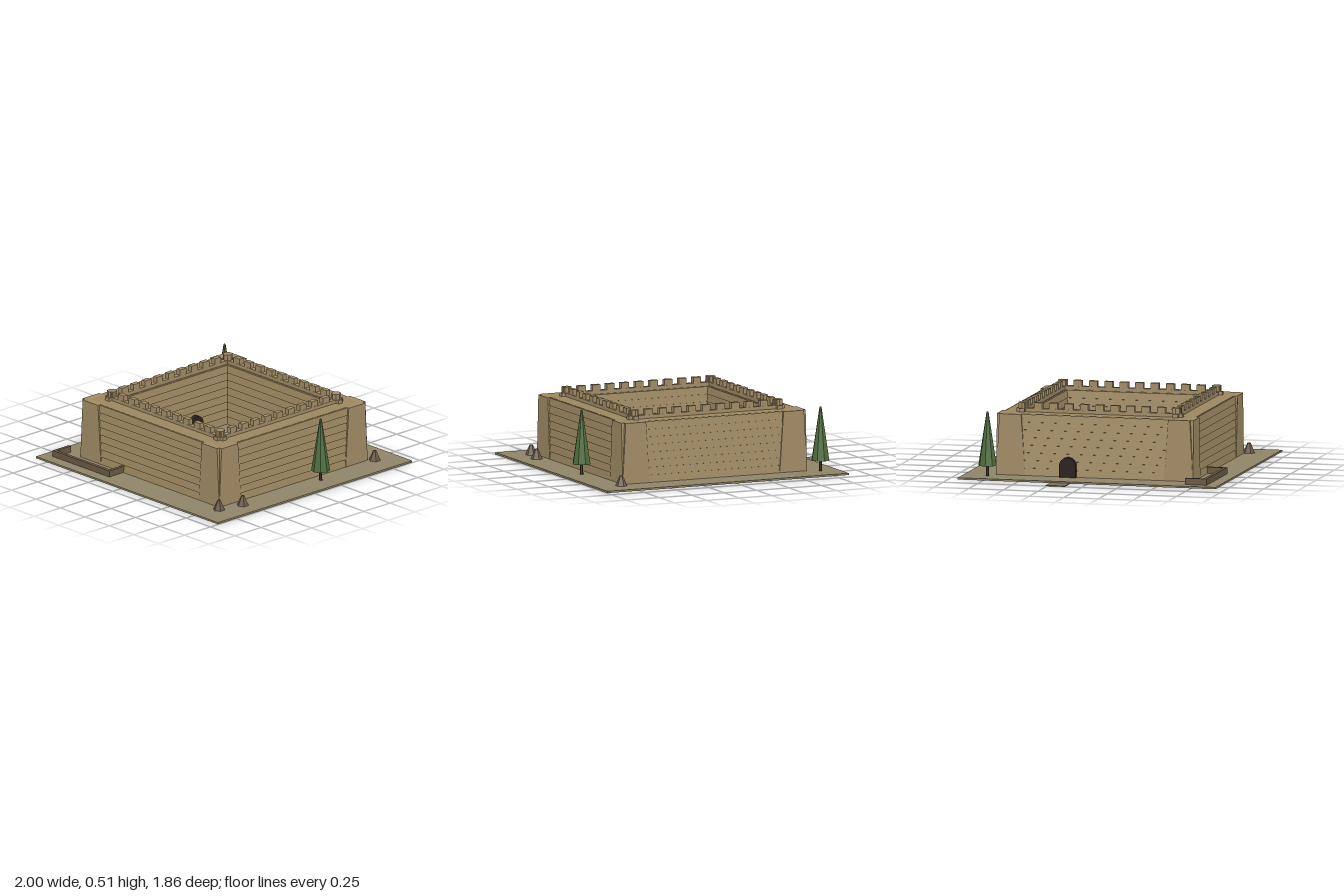
import * as THREE from 'three';

const mat = (color, side = THREE.FrontSide) =>
  new THREE.MeshStandardMaterial({ color, flatShading: true, side });

const STONE = mat(0x9c8760), BUTTRESS = mat(0xa28c66), GROUND = mat(0x8e8468);
const PATH = mat(0x7d705c), GRASS = mat(0x78784a), WOOD = mat(0x6a5a45);
const DARK = mat(0x2a211b), LEAF = mat(0x4f6d3e), TRUNK = mat(0x4a3826), MOUND = mat(0x6b5a48);

const BASE = 0.015, TOP = 0.445, CX = 0.07;   // ground level, wall top, fort centre

function add(parent, name, geometry, material, x = 0, y = 0, z = 0) {
  const m = new THREE.Mesh(geometry, material);
  m.name = name;
  m.position.set(x, y, z);
  parent.add(m);
  return m;
}

// Box given by its limits on each axis
function slab(parent, name, material, x0, x1, y0, y1, z0, z1) {
  return add(parent, name, new THREE.BoxGeometry(x1 - x0, y1 - y0, z1 - z0), material,
    (x0 + x1) / 2, (y0 + y1) / 2, (z0 + z1) / 2);
}

function polygon(points) {
  return new THREE.Shape(points.map(([x, y]) => new THREE.Vector2(x, y)));
}

const extrude = (shape, depth) =>
  new THREE.ExtrudeGeometry(shape, { depth, bevelEnabled: false, curveSegments: 10 });

// Overlapping boards, profiled in outward / up and run along x
function boards(length, reach, dir) {
  const n = 8, h = (TOP - BASE) / n, pts = [[-0.01, BASE]];
  for (let i = 0; i < n; i++) {
    const batter = 0.008 * (1 - i / n);
    pts.push([reach - 0.008 + batter, BASE + i * h]);
    pts.push([reach - 0.018 + batter, BASE + (i + 1) * h - 0.002]);
  }
  pts.push([-0.01, TOP - 0.002]);
  const g = extrude(polygon(pts), length);
  g.translate(0, 0, -length / 2);
  g.rotateY(-dir * Math.PI / 2);
  return g;
}

function square(half) {
  return [[-half, -half], [half, -half], [half, half], [-half, half]];
}

function fort() {
  const g = new THREE.Group();
  g.name = 'fort';
  g.position.x = CX;

  // Solid wall ring
  const ring = polygon(square(0.685));
  ring.holes.push(new THREE.Path(square(0.53).reverse().map(p => new THREE.Vector2(...p))));
  const core = extrude(ring, TOP - BASE);
  core.rotateX(-Math.PI / 2);
  add(g, 'wallCore', core, STONE, 0, BASE, 0);

  // Four equal sides
  const outer = boards(1.08, 0.025, 1), inner = boards(1.06, 0.03, -1);
  const merlon = new THREE.BoxGeometry(0.06, 0.043, 0.036);
  for (let s = 0; s < 4; s++) {
    const side = new THREE.Group();
    side.name = 'wallSide';
    side.rotation.y = s * Math.PI / 2;
    g.add(side);
    add(side, 'outerBoards', outer, STONE, 0, 0, 0.685);
    add(side, 'innerBoards', inner, STONE, 0, 0, 0.53);

    // Tapered corner buttresses
    for (const k of [-1, 1]) {
      const pts = [[0.5 * k, BASE], [0.71 * k, BASE], [0.687 * k, TOP], [0.53 * k, TOP]];
      if (k < 0) pts.reverse();
      add(side, 'cornerButtress', extrude(polygon(pts), 0.05), BUTTRESS, 0, 0, 0.66);
    }

    // Parapet band and merlons
    slab(side, 'parapet', BUTTRESS, -0.6, 0.6, TOP - 0.005, 0.47, 0.535, 0.573);
    for (let i = 0; i < 11; i++)
      add(side, 'merlon', merlon, BUTTRESS, -0.555 + i * 0.111, 0.4895, 0.554);
    add(side, 'cornerCap', new THREE.CylinderGeometry(0.034, 0.034, 0.043, 8), BUTTRESS,
      0.554, 0.4895, 0.554);
  }
  return g;
}

// Arched gateway running through the side wall
function gateway(parent) {
  const s = new THREE.Shape();
  s.moveTo(-0.06, BASE);
  s.lineTo(0.06, BASE);
  s.lineTo(0.06, 0.095);
  s.absarc(0, 0.095, 0.06, 0, Math.PI, false);
  s.lineTo(-0.06, BASE);
  const g = extrude(s, 0.26);
  g.rotateY(Math.PI / 2);
  add(parent, 'gateway', g, DARK, -0.667, 0, -0.19);
}

function tree(x, z) {
  const t = new THREE.Group();
  t.name = 'tree';
  t.position.set(x, 0, z);
  add(t, 'trunk', new THREE.CylinderGeometry(0.01, 0.012, 0.1, 6), TRUNK, 0, 0.055, 0);
  add(t, 'foliage', new THREE.CylinderGeometry(0.007, 0.066, 0.38, 8), LEAF, 0, 0.28, 0);
  return t;
}

export function createModel() {
  const model = new THREE.Group();
  model.name = 'fortModel';

  // Ground, entrance path and courtyard lawn
  slab(model, 'ground', GROUND, -0.86, 1, 0.002, BASE, -0.93, 0.93);
  slab(model, 'path', PATH, -1, -0.64, 0, 0.006, -0.26, -0.12);
  slab(model, 'lawn', GRASS, 0.08, 0.43, BASE - 0.005, BASE + 0.004, -0.32, 0.065);

  model.add(fort());
  gateway(model);

  // Low enclosure in front of the wall
  slab(model, 'enclosureFront', WOOD, -0.78, -0.2, BASE, 0.06, 0.82, 0.845);
  slab(model, 'enclosureEnd', WOOD, -0.78, -0.757, BASE, 0.06, 0.69, 0.82);
  slab(model, 'enclosureEnd', WOOD, -0.223, -0.2, BASE, 0.06, 0.7, 0.82);

  // Trees and small mounds
  for (const [x, z] of [[-0.725, -0.75], [0.855, -0.19]]) model.add(tree(x, z));
  for (const [x, z] of [[0.81, -0.75], [0.855, 0.555], [0.81, 0.74]])
    add(model, 'mound', new THREE.CylinderGeometry(0.012, 0.042, 0.07, 6), MOUND, x, BASE + 0.035, z);

  return model;
}
